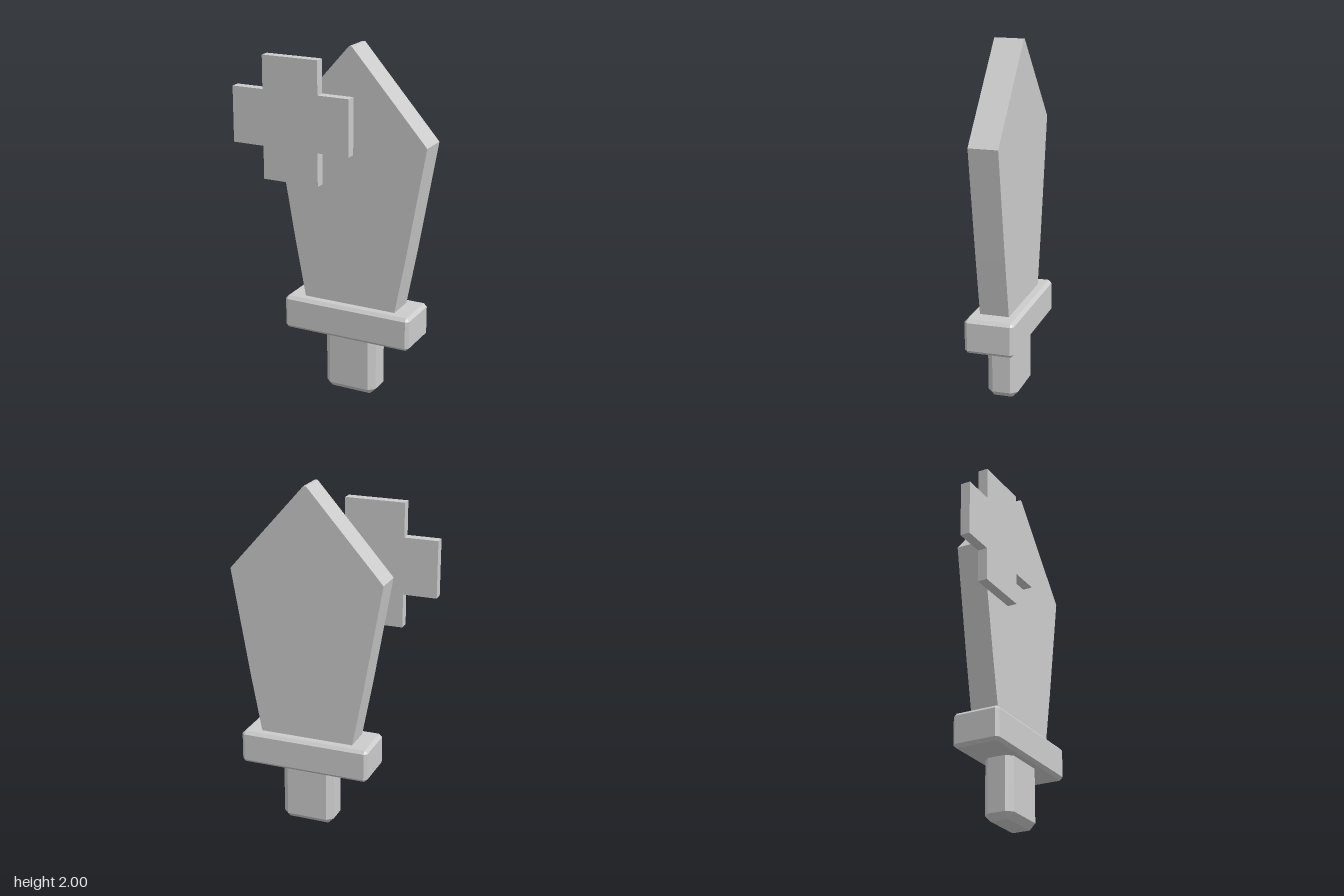
import * as THREE from 'three';
import { ConvexGeometry } from 'three/addons/geometries/ConvexGeometry.js';

const material = new THREE.MeshStandardMaterial({ color: 0xcccccc, flatShading: true });
const AXIS = 0.12; // x of the blade's centre line

function addPart(group, name, geometry) {
  const mesh = new THREE.Mesh(geometry, material);
  mesh.name = name;
  group.add(mesh);
  return mesh;
}

// Box with every edge cut by a flat bevel: each corner becomes three points
function chamferedBox(width, height, depth, bevel) {
  const points = [];
  const half = [width / 2, height / 2, depth / 2];
  for (const sx of [-1, 1]) for (const sy of [-1, 1]) for (const sz of [-1, 1]) {
    for (let face = 0; face < 3; face++) {
      const [x, y, z] = half.map((h, i) => (i === face ? h : h - bevel));
      points.push(new THREE.Vector3(sx * x, sy * y, sz * z));
    }
  }
  return new ConvexGeometry(points);
}

function plate(outline, z0, z1) {
  const shape = new THREE.Shape(outline.map(([x, y]) => new THREE.Vector2(x, y)));
  const geometry = new THREE.ExtrudeGeometry(shape, { depth: z1 - z0, bevelEnabled: false });
  return geometry.translate(0, 0, z0);
}

export function createModel() {
  const group = new THREE.Group();
  group.name = 'broadBlade';

  // Grip, its upper end sunk into the guard
  addPart(group, 'grip', chamferedBox(0.31, 0.42, 0.175, 0.035)).position.set(AXIS, 0.21, 0.002);

  // Guard
  addPart(group, 'guard', chamferedBox(0.77, 0.195, 0.278, 0.018)).position.set(AXIS, 0.4425, 0);

  // Blade, mirrored about its centre line
  const side = [[0.275, 0.53], [0.34, 0.87], [0.45, 1.5], [0.008, 2]];
  const right = side.map(([x, y]) => [AXIS + x, y]);
  const left = side.map(([x, y]) => [AXIS - x, y]).reverse();
  addPart(group, 'blade', plate([...right, ...left], -0.082, 0.082));

  // Cross plate on the front of the blade
  const [x0, x1, x2, x3] = [-0.575, -0.385, -0.047, 0.14];
  const [y0, y1, y2, y3] = [1.22, 1.41, 1.73, 1.92];
  addPart(group, 'crossPlate', plate([
    [x1, y0], [x2, y0], [x2, y1], [x3, y1], [x3, y2], [x2, y2],
    [x2, y3], [x1, y3], [x1, y2], [x0, y2], [x0, y1], [x1, y1],
  ], 0.082, 0.138));

  return group;
}
